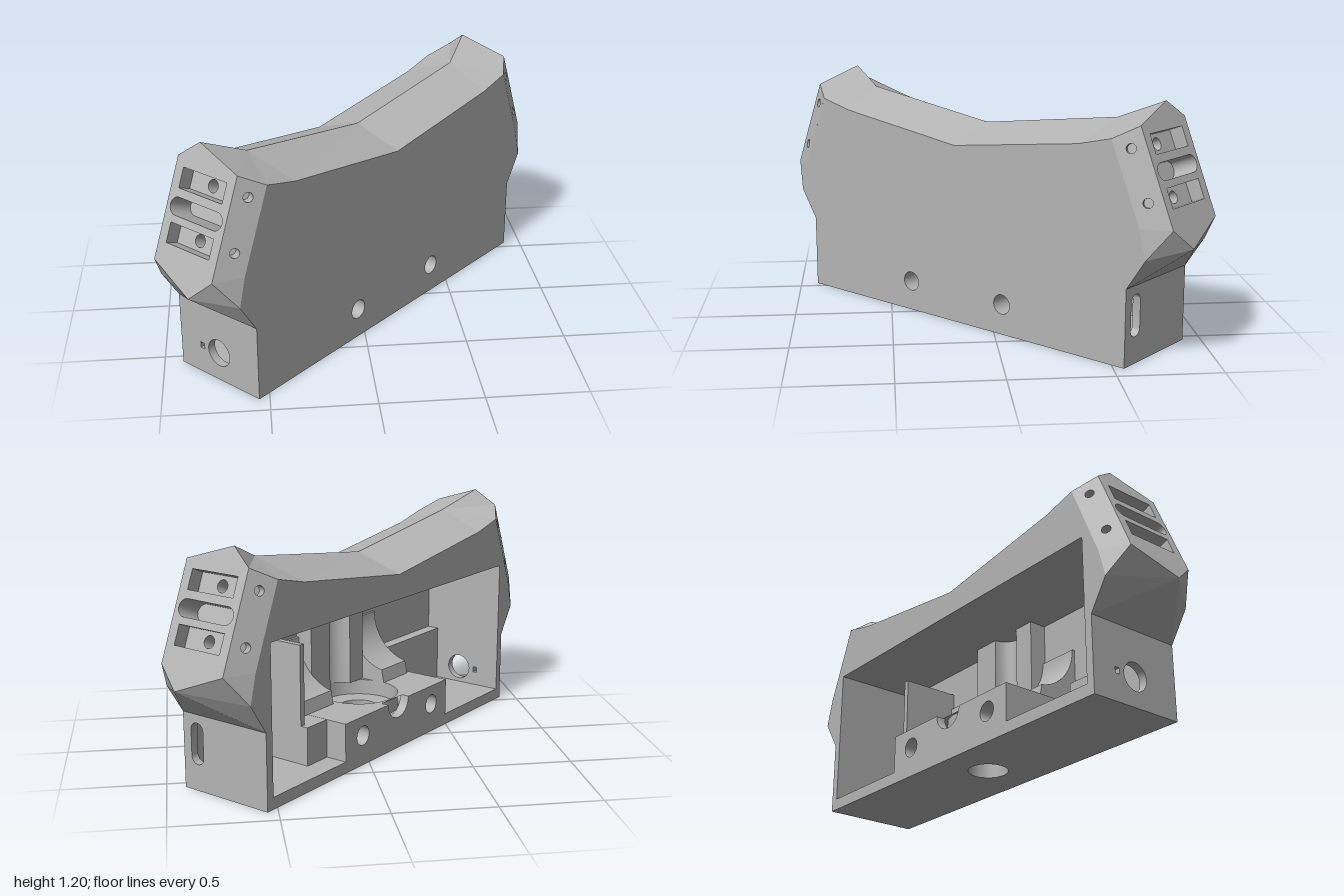
import * as THREE from 'three';
import { toCreasedNormals } from 'three/addons/utils/BufferGeometryUtils.js';

const grey = new THREE.MeshStandardMaterial({ color: 0xb4b4b4, side: THREE.DoubleSide });
grey.name = 'plain grey';

const V = (x, y, z) => new THREE.Vector3(x, y, z);
const V2 = (x, y) => new THREE.Vector2(x, y);
const HALF = 0.255;      // half thickness
const END = 1.032;       // half length of the base
const INNER = 0.99;      // half length of the cavity
const DEEP = 0.215;      // cavity back wall
const SLOPE = 0.41;      // lean of the end plates

// Hole outlines, counter-clockwise around their centre
const circle = (r, n = 28) => Array.from({ length: n }, (_, i) =>
  V2(r * Math.cos(i / n * 2 * Math.PI), r * Math.sin(i / n * 2 * Math.PI)));
const rect = (w, h) => [V2(-w, -h), V2(w, -h), V2(w, h), V2(-w, h)];
const stadium = (r, dx, dy) => circle(r, 32).map((p, i) => {
  const a = (i + 0.5) / 32 * 2 * Math.PI;
  return V2(p.x + Math.sign(Math.cos(a)) * dx, p.y + Math.sign(Math.sin(a)) * dy);
});

function add(parent, geometry, name) {
  const mesh = new THREE.Mesh(geometry, grey);
  mesh.name = name;
  parent.add(mesh);
  return mesh;
}

// Flat panel with holes; each hole gets side walls and, if asked, a floor
function panel(parent, name, outline, xDir, yDir, holes = []) {
  const X = xDir.clone().normalize(), Y = yDir.clone().normalize();
  const frame = new THREE.Matrix4().makeBasis(X, Y, X.clone().cross(Y)).setPosition(outline[0]);
  const flat = p => { const d = p.clone().sub(outline[0]); return V2(d.dot(X), d.dot(Y)); };
  const shape = new THREE.Shape(outline.map(flat));
  for (const h of holes) {
    const c = flat(h.at), pts = h.path.map(p => p.clone().add(c)), tris = [];
    shape.holes.push(new THREE.Path(pts));
    pts.forEach((p, i) => {
      const j = (i + 1) % pts.length, q = pts[j];
      const mid = h.path[i].clone().add(h.path[j]).multiplyScalar(0.5);
      const d = typeof h.depth === 'function' ? h.depth(mid) : h.depth;
      if (d > 0) tris.push(p.x, p.y, 0, q.x, q.y, 0, q.x, q.y, -d, p.x, p.y, 0, q.x, q.y, -d, p.x, p.y, -d);
    });
    if (tris.length) {
      const g = new THREE.BufferGeometry();
      g.setAttribute('position', new THREE.Float32BufferAttribute(tris, 3));
      g.computeVertexNormals();
      add(parent, toCreasedNormals(g, 0.6).applyMatrix4(frame), name + 'HoleWall');
    }
    if (h.floor) {
      const low = pts.map(p => V(p.x, p.y, -h.floor).applyMatrix4(frame));
      const inner = (h.inner || []).map(k => ({ ...k, at: V(c.x, c.y, -h.floor).applyMatrix4(frame) }));
      panel(parent, name + 'HoleFloor', low, X, Y, inner);
    }
  }
  add(parent, new THREE.ShapeGeometry(shape).applyMatrix4(frame), name);
}

// Faceted skin from triangles, turned to face outward
function facets(parent, name, list) {
  const pos = [], core = V(0, 0.5, 0);
  for (let [a, b, c] of list) {
    const n = b.clone().sub(a).cross(c.clone().sub(a));
    if (n.dot(a.clone().add(b).add(c).divideScalar(3).sub(core)) < 0) [b, c] = [c, b];
    for (const p of [a, b, c]) pos.push(p.x, p.y, p.z);
  }
  const g = new THREE.BufferGeometry();
  g.setAttribute('position', new THREE.Float32BufferAttribute(pos, 3));
  g.computeVertexNormals();
  add(parent, g, name);
}

function box(parent, name, x0, x1, y0, y1, z0, z1) {
  add(parent, new THREE.BoxGeometry(x1 - x0, y1 - y0, z1 - z0), name)
    .position.set((x0 + x1) / 2, (y0 + y1) / 2, (z0 + z1) / 2);
}

export function createModel() {
  const group = new THREE.Group(), body = new THREE.Group();
  body.name = 'body';
  group.add(body);
  const up = V(0, 1, 0);

  // Broad side faces
  const half = [[END, 0], [END, 0.38], [1.13, 0.53], [1.093, 0.67], [0.933, 1.06], [0.75, 1.015]];
  const side = [...half, [0, 0.915], ...half.map(([x, y]) => [-x, y]).reverse()];
  const boltHoles = (z, depth) => [-0.305, 0.305].map(x => ({ at: V(x, 0.155, z), path: circle(0.05), depth }));
  panel(body, 'frontFace', side.map(([x, y]) => V(x, y, HALF)), V(1, 0, 0), up, boltHoles(HALF, 2 * HALF));

  // Cavity opening with the raised middle and its half-round notch
  const notch = Array.from({ length: 13 }, (_, i) =>
    V2(-0.09 * Math.cos(i / 12 * Math.PI), 0.255 - 0.09 * Math.sin(i / 12 * Math.PI)));
  const opening = [V2(-INNER, 0.06), V2(-0.448, 0.06), V2(-0.448, 0.255), ...notch, V2(0.448, 0.255),
    V2(0.448, 0.06), V2(INNER, 0.06), V2(INNER, 0.787), V2(-INNER, 0.787)];
  const cavityDepth = m => {
    if (Math.abs(m.x) > 0.98) return 0;
    if (Math.abs(m.x) < 0.4 && m.y < 0.3) return m.y < 0.2549 ? 0.05 : 0;
    return HALF + DEEP;
  };
  panel(body, 'backFace', side.map(([x, y]) => V(x, y, -HALF)), V(-1, 0, 0), up, [
    ...boltHoles(-HALF, 0),
    { at: V(0, 0, -HALF), path: opening, depth: cavityDepth, floor: HALF + DEEP },
  ]);

  // Underside with the central bore, and the platform above it
  panel(body, 'underside', [[-1, -1], [1, -1], [1, 1], [-1, 1]].map(([a, b]) => V(a * END, 0, b * HALF)),
    V(1, 0, 0), V(0, 0, 1), [{ at: V(0, 0, 0), path: circle(0.1), depth: 0 }]);
  panel(body, 'platform', [[-0.448, -HALF], [-0.09, -HALF], [-0.09, -0.215], [0.09, -0.215], [0.09, -HALF],
    [0.448, -HALF], [0.448, DEEP], [-0.448, DEEP]].map(([x, z]) => V(x, 0.255, z)), V(1, 0, 0), V(0, 0, -1),
  [{ at: V(0, 0.255, 0), path: circle(0.205, 40), depth: 0.08, floor: 0.08,
    inner: [{ path: circle(0.1), depth: 0.175 }] }]);

  // Both ends
  for (const s of [1, -1]) {
    const P = (x, y, z) => V(s * x, y, z);
    const lean = y => 1.5 - SLOPE * y;
    const xEnd = V(0, 0, -s), yEnd = P(-SLOPE, 1, 0);

    // Lower end wall, outside and inside
    const endHoles = (x, depth) => s > 0
      ? [{ at: P(x, 0.235, 0.17), path: stadium(0.038, 0, 0.065), depth }]
      : [{ at: P(x, 0.15, 0), path: circle(0.07), depth },
        { at: P(x, 0.15, -0.11), path: rect(0.013, 0.015), depth }];
    panel(body, 'endWall', [[0, s], [0, -s], [0.38, -s], [0.38, s]].map(([y, z]) => P(END, y, z * HALF)),
      xEnd, up, endHoles(END, END - INNER));
    panel(body, 'cavityEndWall', [[0.06, -HALF], [0.06, DEEP], [0.787, DEEP], [0.787, -HALF]]
      .map(([y, z]) => P(INNER, y, z)), xEnd, up, endHoles(INNER, 0));

    // Leaning end plate with two pockets and a long slot
    const rim = [[0.57, 0.07], [0.67, 0.184], [1.12, 0.184], [1.2, -0.073], [1.12, -0.184], [0.67, -0.184]]
      .map(([y, z]) => P(lean(y), y, z));
    const [B, C, D, T, D2, C2] = rim;
    const pocket = y => ({ at: P(lean(y), y, 0), path: rect(0.135, 0.048), depth: 0.07, floor: 0.07,
      inner: [{ path: circle(0.03, 20), depth: 0.07, floor: 0.07 }] });
    panel(body, 'endPlate', rim, xEnd, yEnd, [pocket(1.035), pocket(0.8),
      { at: P(lean(0.915), 0.915, 0), path: stadium(0.042, 0.12, 0), depth: 0.13, floor: 0.13 }]);

    const K = P(0.79, 1.11, 0), K0 = V(0, 1, 0);
    for (const t of [1, -1]) {
      const [c, d] = t > 0 ? [C, D] : [C2, D2];
      const Q = P(1.13, 0.53, t * HALF), R = P(1.093, 0.67, t * HALF), S = P(0.933, 1.06, t * HALF);
      const F = P(0.75, 1.015, t * HALF), M = V(0, 0.915, t * HALF), low = P(END, 0.38, t * HALF);

      // Slanted strip with two small holes
      const yDir = yEnd.clone().normalize(), xDir = c.clone().sub(R).multiplyScalar(s * t);
      xDir.addScaledVector(yDir, -xDir.dot(yDir));
      panel(body, 'endChamfer', [R, c, d, S], xDir, yDir, [1.02, 0.785].map(y =>
        ({ at: P(1.434 - SLOPE * y, y, 0.2195 * t), path: circle(0.023, 18), depth: 0.06, floor: 0.06 })));

      facets(body, 'endFlare', [[low, Q, B], [Q, c, B], [Q, R, c]]);
      facets(body, 'topSaddle', [[K0, K, F], [K0, F, M], [K, F, S], [K, S, d], [K, d, T]]);
    }
    facets(body, 'endFlareMiddle', [[P(END, 0.38, HALF), P(END, 0.38, -HALF), B]]);
  }

  // Curved cradles inside the cavity
  const cradle = new THREE.Shape([V2(-DEEP, 0.255), V2(0.02, 0.255),
    ...Array.from({ length: 15 }, (_, i) => {
      const a = (-80 + 80 * i / 14) * Math.PI / 180;
      return V2(0.05 - 0.25 * Math.cos(a), 0.57 + 0.25 * Math.sin(a));
    }), V2(-DEEP, 0.57)]);
  for (const [x0, x1] of [[0.24, 0.57], [-0.42, -0.2]]) {
    const g = new THREE.ExtrudeGeometry(cradle, { depth: x1 - x0, bevelEnabled: false });
    g.rotateY(Math.PI / 2).translate(x0, 0, 0);
    add(body, toCreasedNormals(g, 0.5), 'cradle');
  }

  // Upright half-round channel between the cradles
  const channel = new THREE.Shape([V2(-0.2, -DEEP), V2(0.24, -DEEP), V2(0.24, -0.12),
    ...Array.from({ length: 13 }, (_, i) =>
      V2(0.085 * Math.cos(i / 12 * Math.PI), -0.12 - 0.085 * Math.sin(i / 12 * Math.PI))), V2(-0.2, -0.12)]);
  const channelGeo = new THREE.ExtrudeGeometry(channel, { depth: 0.532, bevelEnabled: false });
  channelGeo.rotateX(-Math.PI / 2).translate(0, 0.255, 0);
  add(body, toCreasedNormals(channelGeo, 0.5), 'channel');

  // Divider, block and ledge in the cavity
  box(body, 'divider', 0.57, 0.6, 0.255, 0.66, -0.1, DEEP);
  box(body, 'block', 0.449, 0.6, 0.06, 0.255, -0.14, DEEP);
  box(body, 'ledge', -INNER, -0.449, 0.06, 0.36, 0.15, DEEP);

  group.rotation.y = Math.PI / 4;
  const root = new THREE.Group();
  root.name = 'housing';
  root.add(group);
  return root;
}
